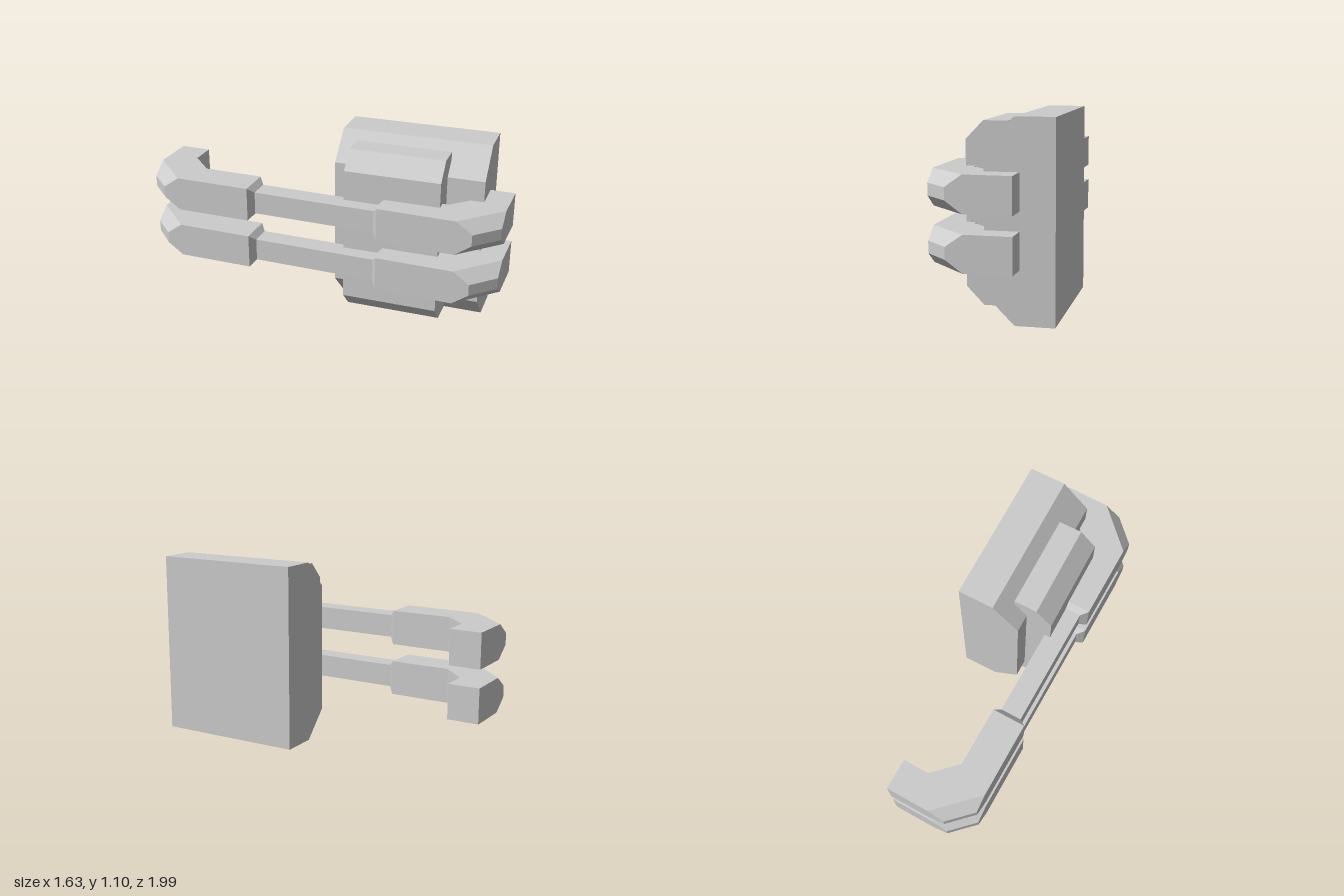
import * as THREE from 'three';
import { ConvexGeometry } from 'three/addons/geometries/ConvexGeometry.js';

const material = new THREE.MeshStandardMaterial({ color: 0xcccccc, flatShading: true });

function part(name, geometry) {
  const mesh = new THREE.Mesh(geometry, material);
  mesh.name = name;
  return mesh;
}

const shapeOf = (pts) => new THREE.Shape(pts.map(([x, y]) => new THREE.Vector2(x, y)));

// Block along x with its front top and bottom edges bevelled.
function bevelledBlock(name, x0, x1, back, bevel, front, y0, y1, drop) {
  const shape = shapeOf([
    [-back, y0], [-back, y1], [-bevel, y1],
    [-front, y1 - drop], [-front, y0 + drop], [-bevel, y0],
  ]);
  const geo = new THREE.ExtrudeGeometry(shape, { depth: x1 - x0, bevelEnabled: false });
  geo.translate(0, 0, x0).rotateY(Math.PI / 2);
  return part(name, geo);
}

// Convex solid, symmetric in height, from [x, z, half height] points.
function hull(name, pts) {
  return part(name, new ConvexGeometry(pts.flatMap(([x, z, h]) => [
    new THREE.Vector3(x, h, z), new THREE.Vector3(x, -h, z),
  ])));
}

const H = 0.102;     // half height of the hooks
const THIN = 0.067;  // half height of the connecting bar
const EDGE = 0.034;  // half height of the tapered outer corner

// One end of an arm: side is +1 or -1.
function createHook(side) {
  const hook = new THREE.Group();
  hook.name = 'hook';
  const m = (pts) => pts.map(([x, ...rest]) => [x * side, ...rest]);

  // Bent main section
  const outline = shapeOf(m([
    [0.40, 0.331], [0.855, 0.331], [1.085, 0.10], [1.085, -0.163],
    [0.90, -0.163], [0.90, -0.006], [0.763, 0.131], [0.40, 0.131],
  ]));
  const geo = new THREE.ExtrudeGeometry(outline, { depth: 2 * H, bevelEnabled: false });
  geo.translate(0, 0, -H).rotateX(Math.PI / 2);
  hook.add(part('hookBend', geo));

  // Tapered outer corner
  hook.add(hull('hookCorner', m([
    [0.855, 0.331, H], [1.085, 0.10, H], [0.95, 0.331, EDGE], [1.085, 0.195, EDGE],
  ])));

  // Step down to the connecting bar
  hook.add(hull('hookCollar', m([
    [0.40, 0.331, H], [0.40, 0.131, H], [0.368, 0.29, THIN], [0.368, 0.165, THIN],
  ])));
  return hook;
}

function createArm(y) {
  const arm = new THREE.Group();
  arm.name = 'arm';
  const bar = part('armBar', new THREE.BoxGeometry(0.75, 2 * THIN, 0.125));
  bar.position.z = 0.2275;
  arm.add(bar, createHook(1), createHook(-1));
  arm.position.set(-0.015, y, 0);
  arm.rotation.y = -0.02;
  return arm;
}

export function createModel() {
  const model = new THREE.Group();
  model.name = 'model';

  // Main block and the smaller panel on its front
  model.add(bevelledBlock('mainBlock', 0.03, 0.927, -0.335, -0.117, 0.045, 0, 1.10, 0.163));
  model.add(bevelledBlock('frontPanel', 0.139, 0.709, -0.035, 0.105, 0.203, 0.043, 1.06, 0.102));

  // Pair of hooked arms, one above the other
  for (const y of [0.403, 0.712]) model.add(createArm(y));

  // Turn the assembly diagonally
  model.rotation.y = -0.952;
  const root = new THREE.Group();
  root.name = 'hookedBlock';
  root.add(model);
  return root;
}
